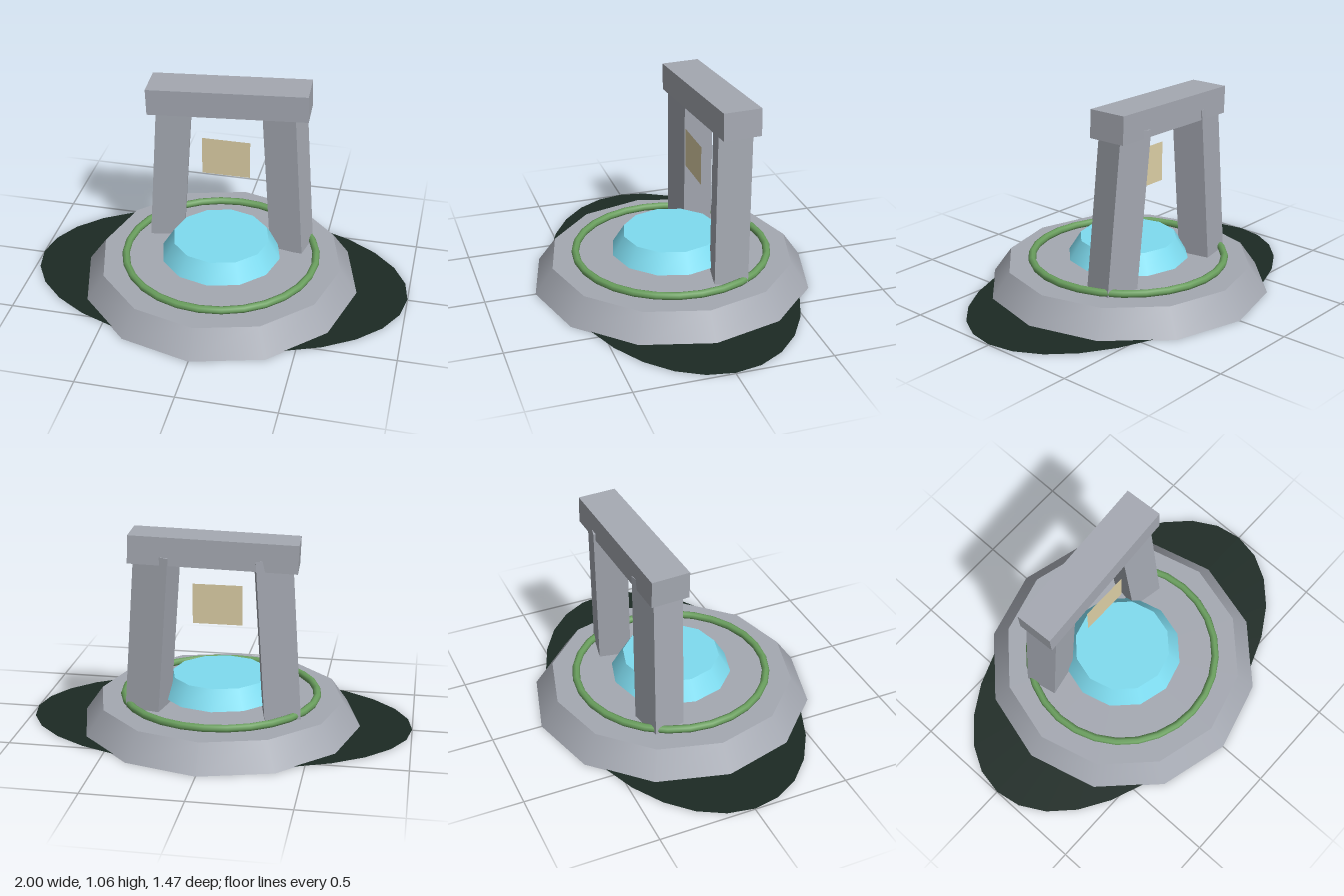
import * as THREE from 'three';

const material = (color, side = THREE.FrontSide) => new THREE.MeshStandardMaterial({ color, side });

export function createModel() {
  const group = new THREE.Group();
  const stone = material(0xa5a9b2);

  const add = (name, geometry, mat, x, y, z) => {
    const mesh = new THREE.Mesh(geometry, mat);
    mesh.name = name;
    mesh.position.set(x, y, z);
    group.add(mesh);
    return mesh;
  };

  // Dark oval patch on the ground
  const patch = add('groundPatch', new THREE.CircleGeometry(1, 28), material(0x1c2a24, THREE.DoubleSide), 0, 0.004, 0);
  patch.rotation.x = -Math.PI / 2;
  patch.scale.y = 0.62;

  // Twelve-sided plinth, moss ring and raised pool
  add('plinth', new THREE.CylinderGeometry(0.64, 0.735, 0.135, 12), stone, 0, 0.0675, 0);
  const ring = add('mossRing', new THREE.TorusGeometry(0.505, 0.02, 8, 28), material(0x6a9f5e), 0, 0.153, 0);
  ring.rotation.x = Math.PI / 2;
  add('pool', new THREE.CylinderGeometry(0.255, 0.317, 0.1, 12), material(0x7fdcf0), 0, 0.21, 0);

  // Leaning pillars, each turned a little and tilted inward
  const pillar = (name, bottom, top, yaw) => {
    const lean = new THREE.Vector3().subVectors(top, bottom);
    const mid = bottom.clone().add(top).multiplyScalar(0.5);
    const mesh = add(name, new THREE.BoxGeometry(0.182, lean.length(), 0.17), stone, mid.x, mid.y, mid.z);
    mesh.rotation.set(Math.atan2(lean.z, lean.y), yaw, Math.atan2(-lean.x, lean.y), 'XZY');
  };
  pillar('leftPillar', new THREE.Vector3(0.345, 0.13, -0.199), new THREE.Vector3(0.281, 0.96, -0.23), -0.2);
  pillar('rightPillar', new THREE.Vector3(-0.345, 0.13, -0.216), new THREE.Vector3(-0.291, 0.95, -0.2), 0.2);

  // Crooked lintel across the pillars
  const lintel = add('lintel', new THREE.BoxGeometry(0.835, 0.142, 0.2), stone, -0.003, 0.975, -0.208);
  lintel.rotation.set(0, 0.054, 0.036);

  // Thin panel floating in the gateway
  add('floatingPanel', new THREE.PlaneGeometry(0.254, 0.208), material(0xddcfa6, THREE.DoubleSide), -0.001, 0.665, -0.12);

  return group;
}
